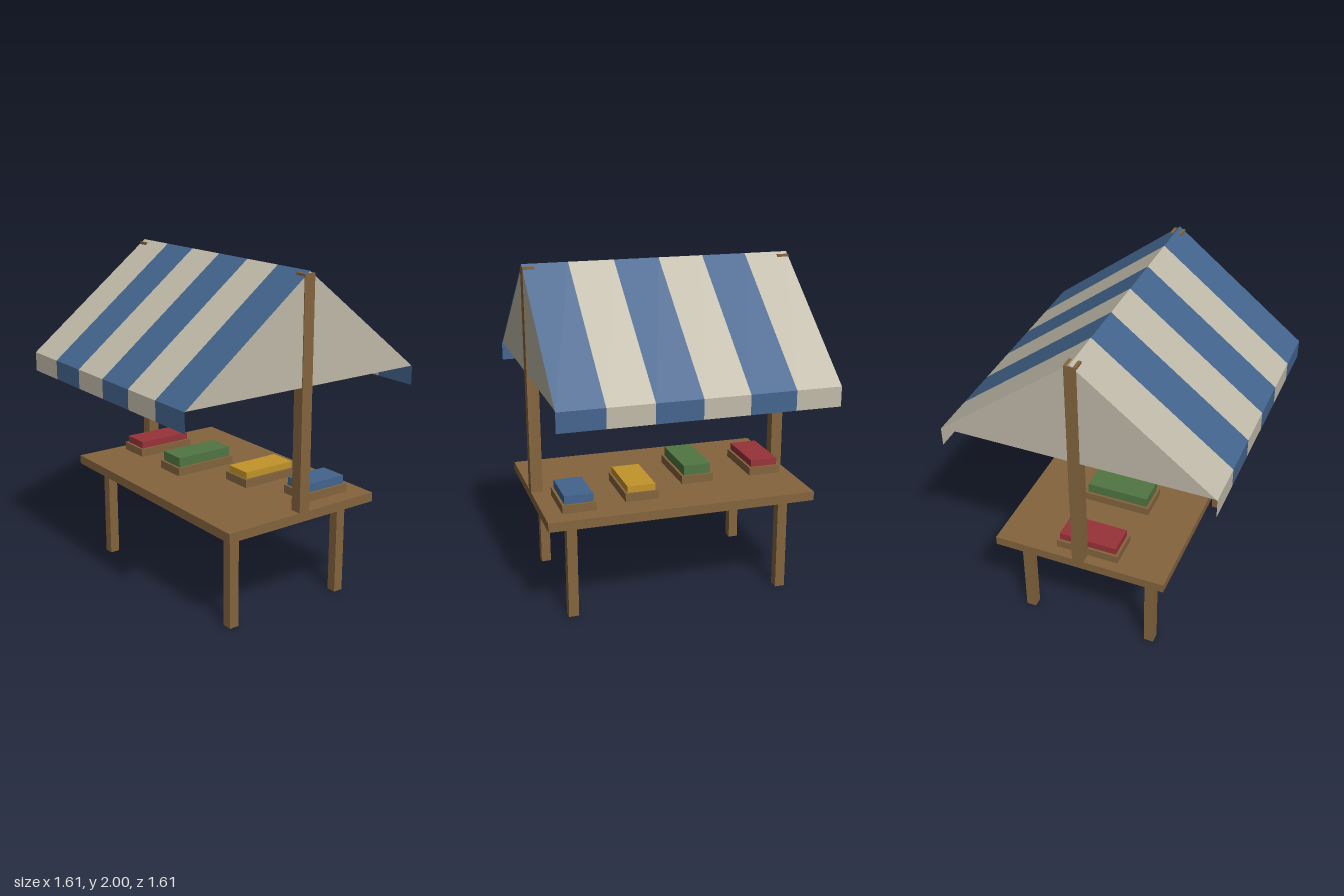
import * as THREE from 'three';

const paint = (name, color, extra = {}) => {
  const m = new THREE.MeshStandardMaterial({ color, ...extra });
  m.name = name;
  return m;
};

export function createModel() {
  const wood = paint('wood', 0x84643d);
  const cream = paint('cream cloth', 0xc0baa9, { side: THREE.DoubleSide });
  const navy = paint('blue cloth', 0x43648d, { side: THREE.DoubleSide });
  const blue = paint('blue goods', 0x43648d);
  const yellow = paint('yellow goods', 0xc2942a);
  const green = paint('green goods', 0x517542);
  const red = paint('red goods', 0x983338);

  const model = new THREE.Group();
  model.name = 'marketStall';

  const add = (name, geometry, material, parent = model) => {
    const mesh = new THREE.Mesh(geometry, material);
    mesh.name = name;
    parent.add(mesh);
    return mesh;
  };

  // Box given by its extents on each axis
  const box = (name, material, [x0, x1], [y0, y1], [z0, z1], parent) => {
    const mesh = add(name, new THREE.BoxGeometry(x1 - x0, y1 - y0, z1 - z0), material, parent);
    mesh.position.set((x0 + x1) / 2, (y0 + y1) / 2, (z0 + z1) / 2);
    return mesh;
  };

  // Table with four legs
  const half = 0.805;
  const deck = 0.645;
  box('tableTop', wood, [-0.525, 0.525], [0.59, deck], [-half, half]);
  for (const x of [-0.395, 0.395])
    for (const z of [-0.65, 0.65])
      box('tableLeg', wood, [x - 0.03, x + 0.03], [0, 0.59], [z - 0.03, z + 0.03]);

  // Posts at the two ends, just poking through the ridge
  for (const z of [-0.77, 0.77])
    box('post', wood, [-0.035, 0.035], [deck, 1.987], [z - 0.035, z + 0.035]);

  // Striped awning: one folded strip of cloth per stripe, with hanging edges
  const ridge = 2, eave = 1.37, hem = 1.255;
  const profile = [[-half, hem], [-half, eave], [0, ridge], [half, eave], [half, hem]];
  const clothStrip = (z0, z1) => {
    const points = [];
    for (let i = 0; i < profile.length - 1; i++) {
      const [ax, ay] = profile[i];
      const [bx, by] = profile[i + 1];
      points.push(ax, ay, z0, ax, ay, z1, bx, by, z1);
      points.push(ax, ay, z0, bx, by, z1, bx, by, z0);
    }
    const g = new THREE.BufferGeometry();
    g.setAttribute('position', new THREE.Float32BufferAttribute(points, 3));
    g.computeVertexNormals();
    return g;
  };
  const awning = new THREE.Group();
  awning.name = 'awning';
  model.add(awning);
  const stripes = 6;
  const width = (2 * half) / stripes;
  for (let i = 0; i < stripes; i++) {
    const z0 = -half + i * width;
    add('awningStripe', clothStrip(z0, z0 + width), i % 2 ? navy : cream, awning);
  }

  // Cloth triangles closing the ends
  const triangle = new THREE.Shape([
    new THREE.Vector2(-half, eave),
    new THREE.Vector2(half, eave),
    new THREE.Vector2(0, ridge),
  ]);
  for (const side of [1, -1]) {
    const gable = add('gable', new THREE.ShapeGeometry(triangle), cream, awning);
    gable.position.z = side * 0.8;
    if (side < 0) gable.rotation.y = Math.PI;
  }

  // Trays of goods: [material, x range, centre z, top height]
  const trays = [
    [blue, 0.12, 0.4, 0.6, 0.745],
    [yellow, -0.015, 0.335, 0.21, 0.735],
    [green, -0.22, 0.16, -0.195, 0.755],
    [red, -0.205, 0.145, -0.64, 0.738],
  ];
  for (const [material, x0, x1, z, top] of trays) {
    const tray = new THREE.Group();
    tray.name = 'tray';
    model.add(tray);
    box('trayBase', wood, [x0 - 0.015, x1 + 0.015], [deck, 0.695], [z - 0.1, z + 0.1], tray);
    box('goods', material, [x0, x1], [0.695, top], [z - 0.085, z + 0.085], tray);
  }

  return model;
}
